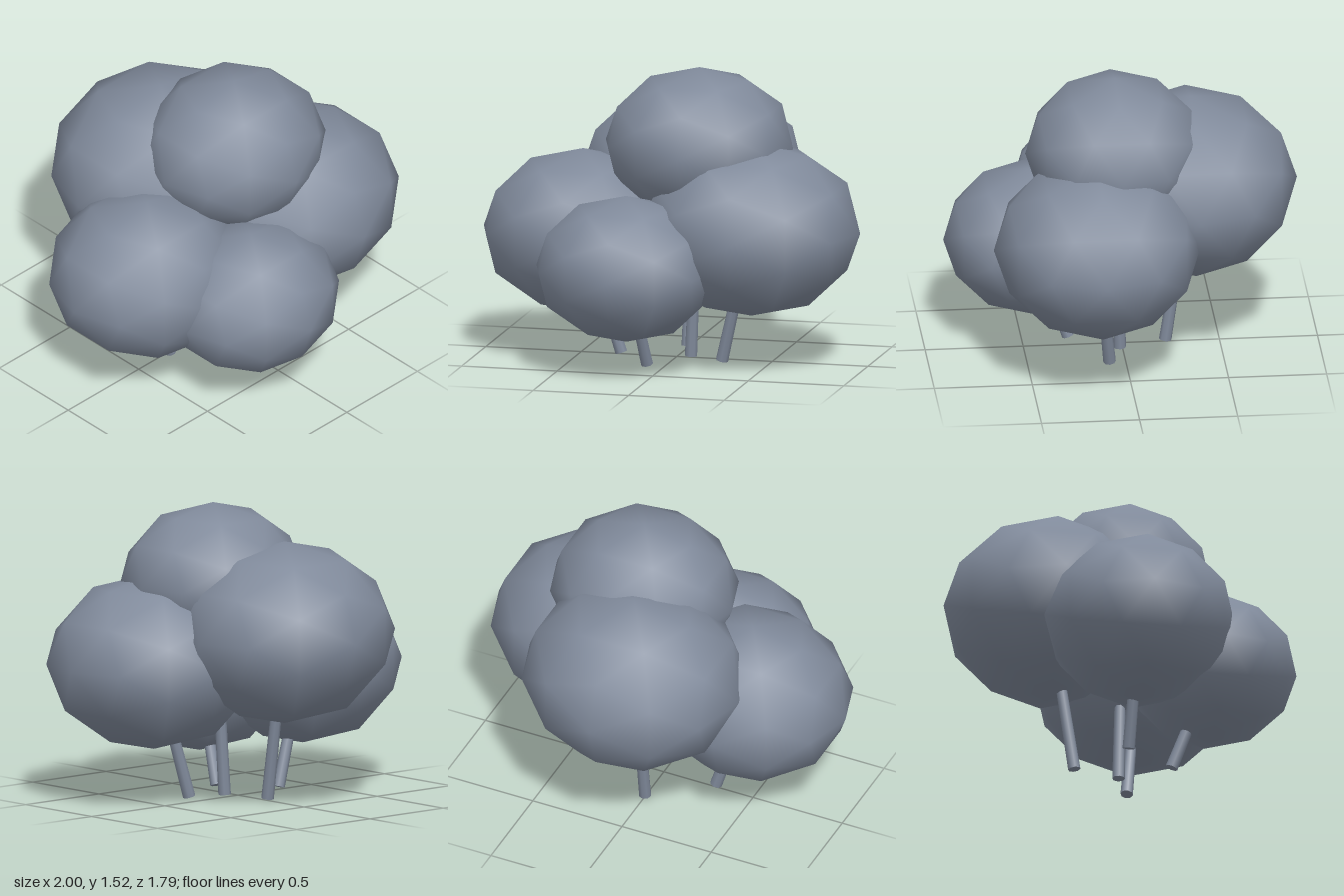
import * as THREE from 'three';

// Leaf clumps: centre and radii along x, y, z
const clumps = [
  { name: 'topClump', centre: [0.13, 1.12, 0.045], radii: [0.49, 0.397, 0.457] },
  { name: 'leftClump', centre: [0.43, 0.72, 0.16], radii: [0.57, 0.453, 0.53] },
  { name: 'rightClump', centre: [-0.48, 0.64, 0.04], radii: [0.52, 0.425, 0.49] },
  { name: 'frontClump', centre: [-0.15, 0.54, 0.457], radii: [0.47, 0.378, 0.437] },
  { name: 'backClump', centre: [0, 0.882, -0.353], radii: [0.585, 0.467, 0.542] },
];

export function createModel() {
  const bush = new THREE.Group();
  bush.name = 'bush';
  const material = new THREE.MeshStandardMaterial({ color: 0x808a9b });
  const ball = new THREE.IcosahedronGeometry(1, 1);
  const up = new THREE.Vector3(0, 1, 0);

  for (const { name, centre, radii } of clumps) {
    // Faceted outline with smooth shading
    const clump = new THREE.Mesh(ball, material);
    clump.name = name;
    clump.position.set(...centre);
    clump.scale.set(...radii);
    bush.add(clump);

    // Slim stem leaning out from the ground to the middle of its clump
    const top = new THREE.Vector3(...centre);
    const foot = new THREE.Vector3(top.x * 0.6, 0.012, top.z * 0.6 - 0.012);
    const direction = top.clone().sub(foot);
    const stem = new THREE.Mesh(new THREE.CylinderGeometry(0.025, 0.032, direction.length(), 8), material);
    stem.name = name.replace('Clump', 'Stem');
    stem.position.copy(foot).lerp(top, 0.5);
    stem.quaternion.setFromUnitVectors(up, direction.normalize());
    bush.add(stem);
  }
  return bush;
}
